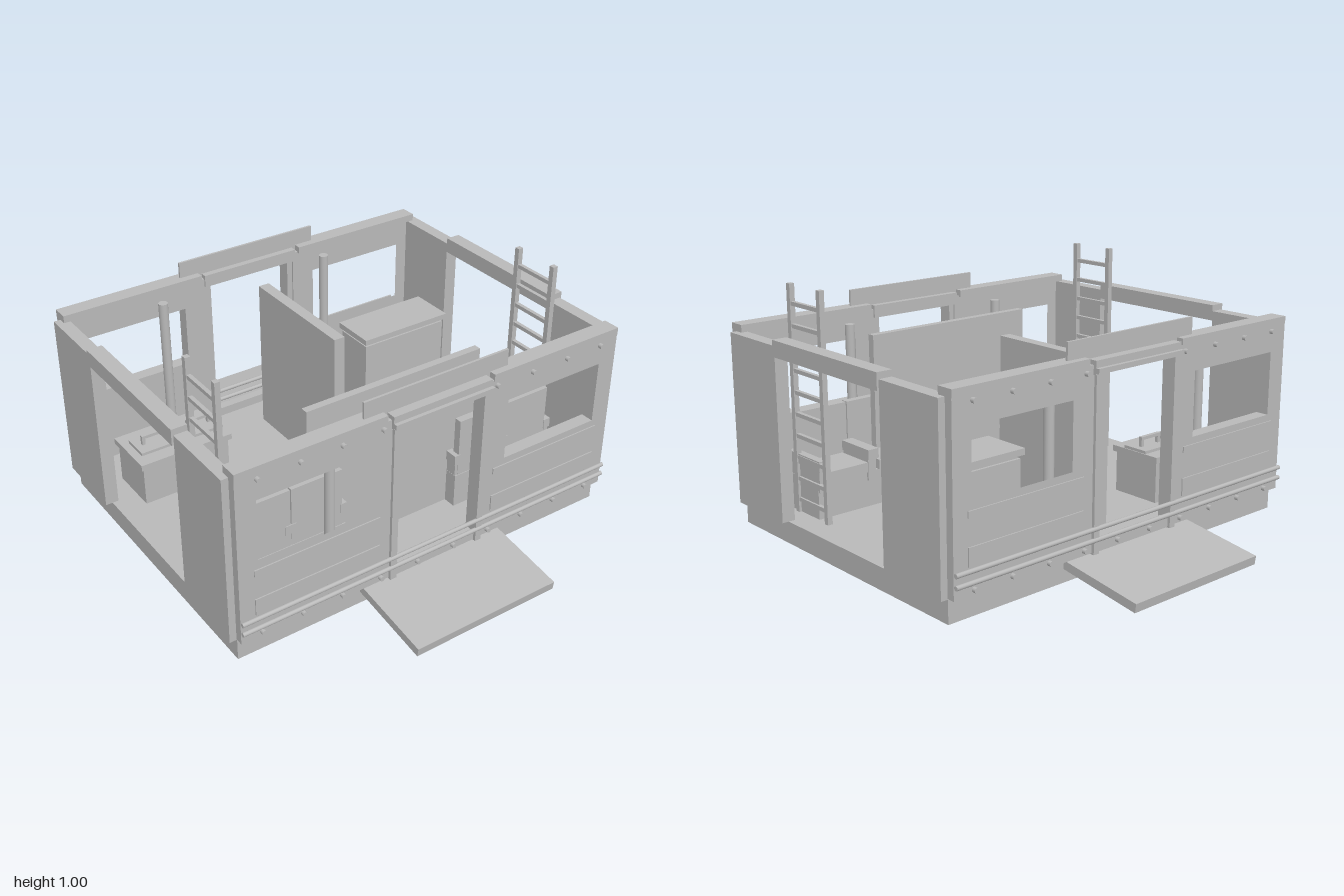
import * as THREE from 'three';

const grey = new THREE.MeshStandardMaterial({ color: 0xb8b8b8 });
grey.name = 'plain grey';

function add(parent, name, geometry) {
  const mesh = new THREE.Mesh(geometry, grey);
  mesh.name = name;
  parent.add(mesh);
  return mesh;
}

// Box given by its minimum and maximum on each axis
function box(parent, name, x0, x1, y0, y1, z0, z1) {
  const m = add(parent, name, new THREE.BoxGeometry(x1 - x0, y1 - y0, z1 - z0));
  m.position.set((x0 + x1) / 2, (y0 + y1) / 2, (z0 + z1) / 2);
  return m;
}

// Same box on both sides of x = 0
function boxPair(parent, name, x0, x1, y0, y1, z0, z1) {
  box(parent, name, x0, x1, y0, y1, z0, z1);
  box(parent, name, -x1, -x0, y0, y1, z0, z1);
}

function group(parent, name) {
  const g = new THREE.Group();
  g.name = name;
  parent.add(g);
  return g;
}

function bolt(parent, x, y) {
  const m = add(parent, 'bolt', new THREE.CylinderGeometry(0.01, 0.01, 0.018, 12));
  m.rotation.x = Math.PI / 2;
  m.position.set(x, y, 0.685);
}

// Long wall with two windows, an open doorway, guard rails and a ramp
function longWall(parent, name) {
  const g = group(parent, name);
  for (const s of [-1, 1]) {
    const rect = (Type, a, b, c, d) => {
      const p = new Type();
      p.moveTo(s * a, c); p.lineTo(s * b, c); p.lineTo(s * b, d); p.lineTo(s * a, d);
      p.closePath();
      return p;
    };
    const panel = rect(THREE.Shape, 0.215, 0.857, 0.095, 0.795);
    panel.holes.push(rect(THREE.Path, 0.318, 0.776, 0.425, 0.685));
    const geo = new THREE.ExtrudeGeometry(panel, { depth: 0.055, bevelEnabled: false });
    add(g, 'windowPanel', geo.translate(0, 0, 0.623));
  }
  boxPair(g, 'topCap', 0.24, 0.857, 0.79, 0.82, 0.61, 0.68);
  boxPair(g, 'windowLedge', 0.264, 0.795, 0.372, 0.397, 0.675, 0.683);
  boxPair(g, 'lowerPanel', 0.264, 0.795, 0.2, 0.27, 0.675, 0.683);
  // doorway
  boxPair(g, 'doorPost', 0.19, 0.218, 0.09, 0.775, 0.63, 0.69);
  box(g, 'doorHeader', -0.222, 0.222, 0.76, 0.812, 0.615, 0.69);
  box(g, 'doorTrack', -0.222, 0.222, 0.765, 0.785, 0.69, 0.705);
  box(g, 'topBoard', -0.323, 0.323, 0.78, 0.887, 0.642, 0.652);
  box(g, 'threshold', -0.2, 0.2, 0.092, 0.13, 0.64, 0.678);
  // guard rails
  for (const y of [0.145, 0.188]) {
    const r = add(g, 'guardRail', new THREE.CylinderGeometry(0.009, 0.009, 1.712, 12));
    r.rotation.z = Math.PI / 2;
    r.position.set(0, y, 0.688);
  }
  for (let i = 0; i < 10; i++) {
    const x = -0.77 + i * 0.171;
    bolt(g, x, 0.115);
    if (Math.abs(x) > 0.25) bolt(g, x, 0.77);
  }
  // ramp
  const side = new THREE.Shape([
    new THREE.Vector2(0.64, 0.053), new THREE.Vector2(0.995, 0.001), new THREE.Vector2(1, 0.036),
    new THREE.Vector2(0.64, 0.087),
  ]);
  const rampGeo = new THREE.ExtrudeGeometry(side, { depth: 0.648, bevelEnabled: false });
  add(g, 'ramp', rampGeo.rotateY(-Math.PI / 2).translate(0.324, 0, 0));
  return g;
}

// Two-seat bench with armrests and a split backrest, facing -z
function bench(parent, s) {
  const g = group(parent, 'bench');
  const b = (name, a, c, ...rest) => box(g, name, Math.min(s * a, s * c), Math.max(s * a, s * c), ...rest);
  b('seatBase', 0.265, 0.755, 0.09, 0.235, 0.27, 0.465);
  b('seatCushion', 0.285, 0.48, 0.24, 0.28, 0.25, 0.425);
  b('seatCushion', 0.535, 0.725, 0.24, 0.28, 0.25, 0.425);
  for (const [a, c] of [[0.26, 0.287], [0.483, 0.532], [0.728, 0.76]]) {
    b('armrestSupport', a + 0.006, c - 0.006, 0.2, 0.29, 0.26, 0.46);
    b('armrest', a, c, 0.29, 0.33, 0.248, 0.465);
  }
  b('backrest', 0.28, 0.503, 0.235, 0.485, 0.43, 0.462);
  b('backrest', 0.508, 0.73, 0.235, 0.485, 0.43, 0.462);
}

function ladder(parent, x) {
  const g = group(parent, 'ladder');
  for (const z of [0.207, 0.407]) box(g, 'ladderRail', x - 0.011, x + 0.011, 0.09, 1, z - 0.011, z + 0.011);
  for (let i = 0; i < 10; i++) {
    const y = 0.143 + i * 0.0868;
    box(g, 'rung', x - 0.008, x + 0.008, y - 0.008, y + 0.008, 0.21, 0.405);
  }
}

export function createModel() {
  const root = new THREE.Group();
  root.name = 'openCabin';

  box(root, 'floorSlab', -0.855, 0.855, 0, 0.09, -0.645, 0.645);
  longWall(root, 'frontWall');
  longWall(root, 'backWall').rotation.y = Math.PI;

  // end walls with a wide opening under a beam
  for (const [z0, z1] of [[0.328, 0.645], [-0.645, -0.328]]) {
    boxPair(root, 'endWall', 0.83, 0.885, 0.092, 0.79, z0, z1);
  }
  boxPair(root, 'endBeam', 0.83, 0.893, 0.75, 0.815, -0.328, 0.328);

  // inner partitions
  box(root, 'centrePartition', -0.024, 0.024, 0.09, 0.75, -0.515, 0.042);
  box(root, 'crossPartition', -0.4, 0.4, 0.09, 0.75, 0.38, 0.411);

  // round poles beside the long walls
  for (const x of [-0.43, 0.36]) for (const z of [-0.6, 0.6]) {
    const p = add(root, 'pole', new THREE.CylinderGeometry(0.02, 0.02, 0.665, 16));
    p.position.set(x, 0.4225, z);
  }

  for (const s of [-1, 1]) {
    bench(root, s);
    ladder(root, s * 0.755);
  }

  // desk
  box(root, 'deskCabinet', 0.37, 0.79, 0.1, 0.435, -0.465, -0.288);
  box(root, 'deskNeck', 0.38, 0.78, 0.09, 0.455, -0.455, -0.3);
  box(root, 'deskTop', 0.36, 0.8, 0.45, 0.475, -0.477, -0.275);

  // low cabinet with two handled lids
  const cab = group(root, 'lowCabinet');
  box(cab, 'cabinetBody', -0.745, -0.357, 0.09, 0.26, -0.463, -0.247);
  box(cab, 'cabinetTop', -0.757, -0.345, 0.26, 0.285, -0.475, -0.235);
  for (const x of [-0.638, -0.434]) {
    box(cab, 'lid', x - 0.085, x + 0.085, 0.28, 0.297, -0.412, -0.297);
    box(cab, 'handleBar', x - 0.055, x + 0.055, 0.325, 0.338, -0.363, -0.347);
    for (const s of [-0.048, 0.048]) {
      box(cab, 'handleLeg', x + s - 0.007, x + s + 0.007, 0.29, 0.33, -0.362, -0.348);
    }
  }
  return root;
}
